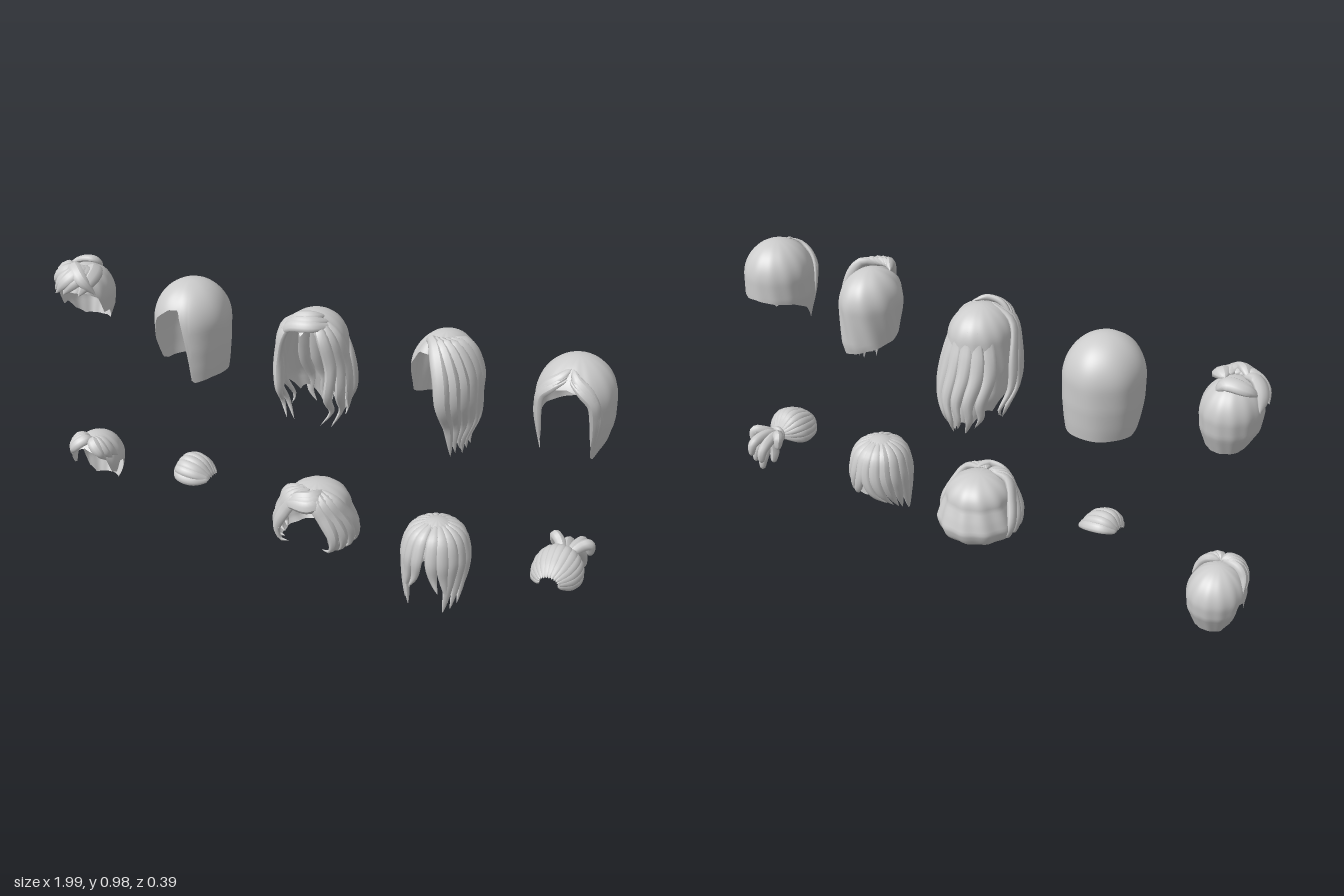
import * as THREE from 'three';

const material = new THREE.MeshStandardMaterial({ color: 0xcccccc, side: THREE.DoubleSide });
const V = (x, y, z) => new THREE.Vector3(x, y, z);

// Piecewise linear lookup in [[key, value], ...], keys rising
function lookup(table, key) {
  if (key <= table[0][0]) return table[0][1];
  for (let i = 1; i < table.length; i++) {
    const [k0, v0] = table[i - 1], [k1, v1] = table[i];
    if (key <= k1) return v0 + (v1 - v0) * (key - k0) / (k1 - k0);
  }
  return table[table.length - 1][1];
}

// Mirrors a hemline given for 0..180 degrees onto both sides
const bothSides = (half) => [...half.slice(1).reverse().map(([d, y]) => [-d, y]), ...half];

// Point on a hair volume: angle 0 is the front, 90 is +x; k pushes outwards
function onHair(s, deg, y, k = 1) {
  const a = deg * Math.PI / 180, rise = (y - s.mid) / (s.top - s.mid);
  const r = k * (y > s.mid ? Math.sqrt(Math.max(0, 1 - rise * rise)) : lookup(s.profile, y));
  const sweep = s.sweep ? lookup(s.sweep, y) * (1 - Math.cos(a)) / 2 : 0;
  return V(r * s.rx * Math.sin(a), y > s.mid ? s.mid + (y - s.mid) * k : y, s.cz + r * s.rz * Math.cos(a) + sweep);
}

// Scalp shell running from the crown down to a hemline
function shell(s) {
  const cols = 120, rows = 32, pos = [], idx = [];
  const { amp = 0.012, waves = 13, twist = 12, ragged = 0 } = s;
  for (let i = 0; i <= rows; i++) {
    const w = 1 - Math.cos(i / rows * Math.PI / 2);
    for (let j = 0; j < cols; j++) {
      const deg = j / cols * 360 - 180, a = deg * Math.PI / 180;
      const hem = lookup(s.hem, deg) + ragged * Math.abs(Math.sin(a * 5));
      const y = s.top - (s.top - hem) * w;
      const k = 1 + amp * Math.sin(waves * a + twist * y) * Math.min(1, w * 2);
      pos.push(...onHair(s, deg, y, k).toArray());
      if (i < rows) {
        const p = i * cols + j, q = i * cols + (j + 1) % cols;
        idx.push(p, p + cols, q, p + cols, q + cols, q);
      }
    }
  }
  const g = new THREE.BufferGeometry();
  g.setAttribute('position', new THREE.Float32BufferAttribute(pos, 3));
  g.setIndex(idx);
  g.computeVertexNormals();
  const m = new THREE.Mesh(g, material);
  m.name = 'scalpShell';
  return m;
}

const pointed = (t) => Math.sqrt(Math.min(1, t / 0.25)) * (t < 0.4 ? 1 : Math.pow(Math.abs(Math.cos((t - 0.4) / 0.6 * Math.PI / 2)), 0.8));
const blunt = (t) => Math.pow(Math.abs(Math.sin(Math.PI * t)), 0.35);

// Tapered lock along a curve, flattened against the head
function lock(points, radius, centre, flat = 0.55, taper = pointed, name = 'lock') {
  const n = 22, sides = 9, path = new THREE.CatmullRomCurve3(points);
  const g = new THREE.TubeGeometry(path, n, radius, sides), p = g.attributes.position, v = V(0, 0, 0);
  for (let i = 0; i <= n; i++) {
    const c = path.getPointAt(i / n), out = c.clone().sub(centre).normalize();
    for (let j = 0; j <= sides; j++) {
      const id = i * (sides + 1) + j;
      v.fromBufferAttribute(p, id).sub(c).multiplyScalar(taper(i / n));
      v.addScaledVector(out, (flat - 1) * v.dot(out)).add(c);
      p.setXYZ(id, v.x, v.y, v.z);
    }
  }
  g.computeVertexNormals();
  const m = new THREE.Mesh(g, material);
  m.name = name;
  return m;
}

// One hairstyle: shell plus locks listed as { r, at: [[deg, y, k], ...] }
function hairstyle(name, x, s, locks = []) {
  const group = new THREE.Group();
  group.name = name;
  group.position.x = x;
  group.add(shell(s));
  const centre = V(0, s.mid, s.cz);
  for (const l of locks) group.add(lock(l.at.map(([d, y, k]) => onHair(s, d, y, k)), l.r, centre, l.flat));
  return group;
}

const range = (n, f) => Array.from({ length: n }, (_, i) => f(i));
const mirrored = (n, f) => [-1, 1].flatMap((side) => range(n, (i) => f(side, i)));

// Small domed clip of curved fringe strands
function fringePiece() {
  const group = new THREE.Group();
  group.name = 'fringePiece';
  group.position.set(-0.45, 0, 0.05);
  const centre = V(0, 0.24, 0);
  for (let i = 0; i < 7; i++) {
    const t = 0.2 + i * 0.38, z = 0.064 * Math.cos(t), h = 0.248 + 0.062 * Math.sin(t);
    group.add(lock([V(-0.07, 0.278, z * 0.35), V(-0.035, h + 0.007, z), V(0.02, h, z), V(0.068, 0.261, z * 0.5)], 0.017, centre, 0.6, blunt, 'fringeStrand'));
  }
  return group;
}

// Pulled-back crown with a tied tail
function tiedTail() {
  const group = new THREE.Group();
  group.name = 'tiedTail';
  group.position.x = 0.87;
  const knot = V(0, 0.235, -0.06), centre = V(0, 0.21, 0);
  for (let i = -6; i <= 6; i++) {
    const t = i / 6 * 1.65, s = Math.sin(t), c = Math.cos(t);
    group.add(lock([V(s * 0.03, 0.228 + c * 0.02, 0.112), V(s * 0.065, 0.218 + c * 0.062, 0.065), V(s * 0.071, 0.22 + c * 0.079, 0),
      V(s * 0.04, 0.23 + c * 0.035, -0.04), knot], 0.017, centre, 0.6, blunt, 'crownStrand'));
  }
  const tie = new THREE.Mesh(new THREE.TorusGeometry(0.02, 0.012, 10, 24), material);
  tie.name = 'hairTie';
  tie.position.copy(knot);
  group.add(tie);
  const tips = [[-0.06, 0.22, -0.13], [0.06, 0.215, -0.13], [-0.022, 0.175, -0.18], [0.025, 0.19, -0.18], [0.035, 0.15, -0.15], [0, 0.13, -0.155], [-0.025, 0.15, -0.12]];
  for (const [x, y, z] of tips)
    group.add(lock([V(x * 0.1, 0.237, -0.055), V(x * 0.6, 0.235 + (y - 0.14) * 0.3, -0.1), V(x * 0.95, y + 0.045, z + 0.012), V(x, y, z)], 0.019, knot, 1, blunt, 'tailStrand'));
  return group;
}

export function createModel() {
  const model = new THREE.Group();
  model.name = 'hairstyleSet';

  // Top row
  const tousled = { top: 0.955, mid: 0.85, rx: 0.092, rz: 0.108, cz: 0.017, profile: [[0.74, 0.72], [0.8, 0.95], [0.85, 1]],
    hem: bothSides([[0, 0.885], [40, 0.88], [62, 0.86], [75, 0.8], [92, 0.8], [105, 0.77], [130, 0.745], [180, 0.74]]) };
  model.add(hairstyle('tousledCrop', -0.885, tousled, [
    ...range(5, (i) => ({ r: 0.03, flat: 0.6, at: [[i * 32 - 20, 0.95, 1], [i * 32 - 60, 0.935, 1.12], [i * 32 - 86, 0.91, 1.15], [i * 32 - 104, 0.875, 1.15]] })),
    { r: 0.026, at: [[150, 0.93, 1], [175, 0.945, 1.08], [-120, 0.935, 1.12], [-90, 0.91, 1.12]] },
    { r: 0.026, at: [[-60, 0.945, 1.05], [5, 0.94, 1.2], [32, 0.915, 1.25], [55, 0.875, 1.2]] },
    { r: 0.026, at: [[70, 0.945, 1.05], [20, 0.935, 1.2], [-5, 0.91, 1.22], [-30, 0.87, 1.18]] },
  ]));

  model.add(hairstyle('asymmetricBob', -0.453, { top: 0.978, mid: 0.84, rx: 0.127, rz: 0.137, cz: 0.02, waves: 7, amp: 0.01,
    profile: [[0.65, 0.88], [0.7, 0.94], [0.77, 0.99], [0.84, 1]],
    hem: [[-180, 0.665], [-95, 0.665], [-80, 0.68], [-68, 0.74], [-55, 0.8], [-35, 0.865], [-10, 0.905], [8, 0.91], [16, 0.85], [23, 0.75], [27, 0.66], [32, 0.65], [60, 0.665], [180, 0.665]] }));

  const wavy = { top: 0.955, mid: 0.85, rx: 0.106, rz: 0.12, cz: 0.02, amp: 0.015, waves: 14, twist: 25, ragged: 0.03,
    profile: [[0.54, 0.5], [0.6, 0.8], [0.68, 1.04], [0.75, 1.06], [0.85, 1]], sweep: [[0.55, -0.08], [0.63, -0.055], [0.74, -0.005], [0.85, 0]],
    hem: bothSides([[0, 0.9], [35, 0.89], [48, 0.8], [58, 0.69], [90, 0.65], [140, 0.58], [180, 0.565]]) };
  model.add(hairstyle('longWaves', 0.005, wavy, [
    ...mirrored(3, (m, i) => ({ r: 0.021, at: [[m * (14 + i * 8), 0.95, 1.03], [m * (42 + i * 14), 0.9, 1.05], [m * (54 + i * 16), 0.79, 1.07],
      [m * (48 + i * 20), 0.69, 1.08], [m * (56 + i * 20), 0.635 - i * 0.012, 1.12], [m * (38 + i * 24), 0.59 - (i % 2) * 0.035, 1.25]] })),
    ...range(6, (i) => ({ r: 0.024, flat: 0.25, at: [[130 + i * 20, 0.9, 1], [130 + i * 20, 0.75, 1.05], [126 + i * 20, 0.66, 1.06], [133 + i * 20, 0.61, 1.06], [128 + i * 20, 0.548 + (i % 2) * 0.02, 1]] })),
    ...range(3, (i) => ({ r: 0.02, at: [[70, 0.945 - i * 0.012, 1.04], [20, 0.945 - i * 0.01, 1.1], [-30, 0.938 - i * 0.012, 1.1], [-65, 0.89 - i * 0.02, 1.06]] })),
  ]));

  const swept = { top: 0.97, mid: 0.85, rx: 0.102, rz: 0.125, cz: 0.018, waves: 9, amp: 0.02, twist: 22,
    profile: [[0.58, 0.65], [0.72, 0.96], [0.85, 1]],
    hem: [[-180, 0.695], [-100, 0.735], [-80, 0.76], [-66, 0.86], [-40, 0.92], [15, 0.93], [32, 0.86], [45, 0.7], [65, 0.64], [95, 0.65], [130, 0.67], [180, 0.695]] };
  model.add(hairstyle('sideSweptWave', 0.457, swept, range(6, (i) => ({ r: 0.027, flat: 0.8, at: [[i * 14 - 50, 0.95, 1.04], [i * 14 - 4, 0.945, 1.2],
    [20 + i * 13, 0.87, 1.3 - i * 0.04], [24 + i * 13, 0.79, 1.38 - i * 0.06], [34 + i * 12, 0.7, 1.15], [38 + i * 8, 0.65, 1.25], [42 + i * 8, 0.59 + (i % 3) * 0.012, 1.4]] }))));

  const bob = { top: 0.977, mid: 0.85, rx: 0.12, rz: 0.127, cz: 0.02, amp: 0.008, profile: [[0.67, 0.8], [0.74, 0.94], [0.79, 1], [0.85, 1]],
    hem: bothSides([[0, 0.91], [20, 0.9], [33, 0.87], [39, 0.83], [44, 0.77], [49, 0.69], [56, 0.675], [72, 0.71], [90, 0.75], [115, 0.775], [180, 0.79]]) };
  model.add(hairstyle('fringedBob', 0.877, bob, mirrored(3, (m, i) => ({ r: 0.02, flat: 0.5,
    at: [[m * 2, 0.958 - i * 0.012, 1.02], [m * (16 + i * 3), 0.935 - i * 0.012, 1.05], [m * (36 + i * 2), 0.895 - i * 0.01, 1.05], [m * (50 - i * 2), 0.82, 1.01], [m * (54 - i * 2), 0.71, 0.99]] }))));

  // Bottom row
  const crop = { top: 0.302, mid: 0.2, rx: 0.092, rz: 0.105, cz: 0.018, profile: [[0.1, 0.68], [0.16, 0.95], [0.2, 1]],
    hem: bothSides([[0, 0.268], [30, 0.255], [55, 0.235], [68, 0.175], [82, 0.165], [92, 0.2], [104, 0.2], [114, 0.13], [130, 0.1], [180, 0.1]]) };
  model.add(hairstyle('partedCrop', -0.893, crop, [
    ...range(4, (i) => ({ r: 0.023, flat: 0.7, at: [[20, 0.294 - i * 0.002, 1], [-8 - i * 14, 0.283, 1.15 - i * 0.02], [-24 - i * 15, 0.263, 1.18 - i * 0.04], [-42 - i * 16, 0.232, 1.08 - i * 0.02]] })),
    ...range(3, (i) => ({ r: 0.023, flat: 0.7, at: [[20, 0.294, 1], [28 + i * 14, 0.281, 1.14 - i * 0.02], [42 + i * 14, 0.258, 1.15 - i * 0.03], [56 + i * 15, 0.23, 1.06]] })),
  ]));

  model.add(fringePiece());

  const fluffy = { top: 0.325, mid: 0.24, rx: 0.114, rz: 0.118, cz: 0.015, amp: 0.025, waves: 11, twist: 15,
    profile: [[0.105, 0.95], [0.125, 1.15], [0.16, 1.25], [0.2, 1.14], [0.24, 1]],
    hem: bothSides([[0, 0.275], [28, 0.265], [38, 0.22], [44, 0.14], [60, 0.115], [180, 0.11]]) };
  model.add(hairstyle('fluffyBob', 0.012, fluffy, [
    ...mirrored(4, (m, i) => ({ r: 0.026, flat: 0.6, at: [[m * (5 + i * 8), 0.318, 1.02], [m * (22 + i * 12), 0.293, 1.1], [m * (40 + i * 13), 0.24, 1.06],
      [m * (50 + i * 15), 0.17, 1.02], [m * (46 + i * 17), 0.125, 1.0], [m * (35 + i * 16), 0.125, 0.85]] })),
    ...range(3, (i) => ({ r: 0.024, at: [[50, 0.316, 1.02], [15, 0.303 - i * 0.009, 1.15], [-20, 0.293 - i * 0.007, 1.15], [-45, 0.255, 1.06]] })),
  ]));

  const spiky = { top: 0.312, mid: 0.2, rx: 0.1, rz: 0.1, cz: 0.036, profile: [[0, 0.8], [0.1, 0.97], [0.2, 1]],
    hem: bothSides([[0, 0.285], [30, 0.27], [50, 0.23], [75, 0.19], [110, 0.15], [180, 0.12]]) };
  model.add(hairstyle('pointedStrands', 0.46, spiky, mirrored(9, (m, i) => {
    const d = 14 + i * 20, front = d < 50, tip = front ? 0.09 - i * 0.04 : 0.004 + Math.max(0, d - 58) / 122 * 0.09;
    return { r: 0.022, at: [[m * d, 0.306, 1], [m * d, 0.27, 1.04], [m * d, 0.2, 1.05], [m * (front ? d + 6 : d * 0.92), 0.13, 1.04],
      [m * (front ? d + 14 : d * 0.75), tip, d < 100 ? 1.18 : 1]] };
  })));

  model.add(tiedTail());
  return model;
}
